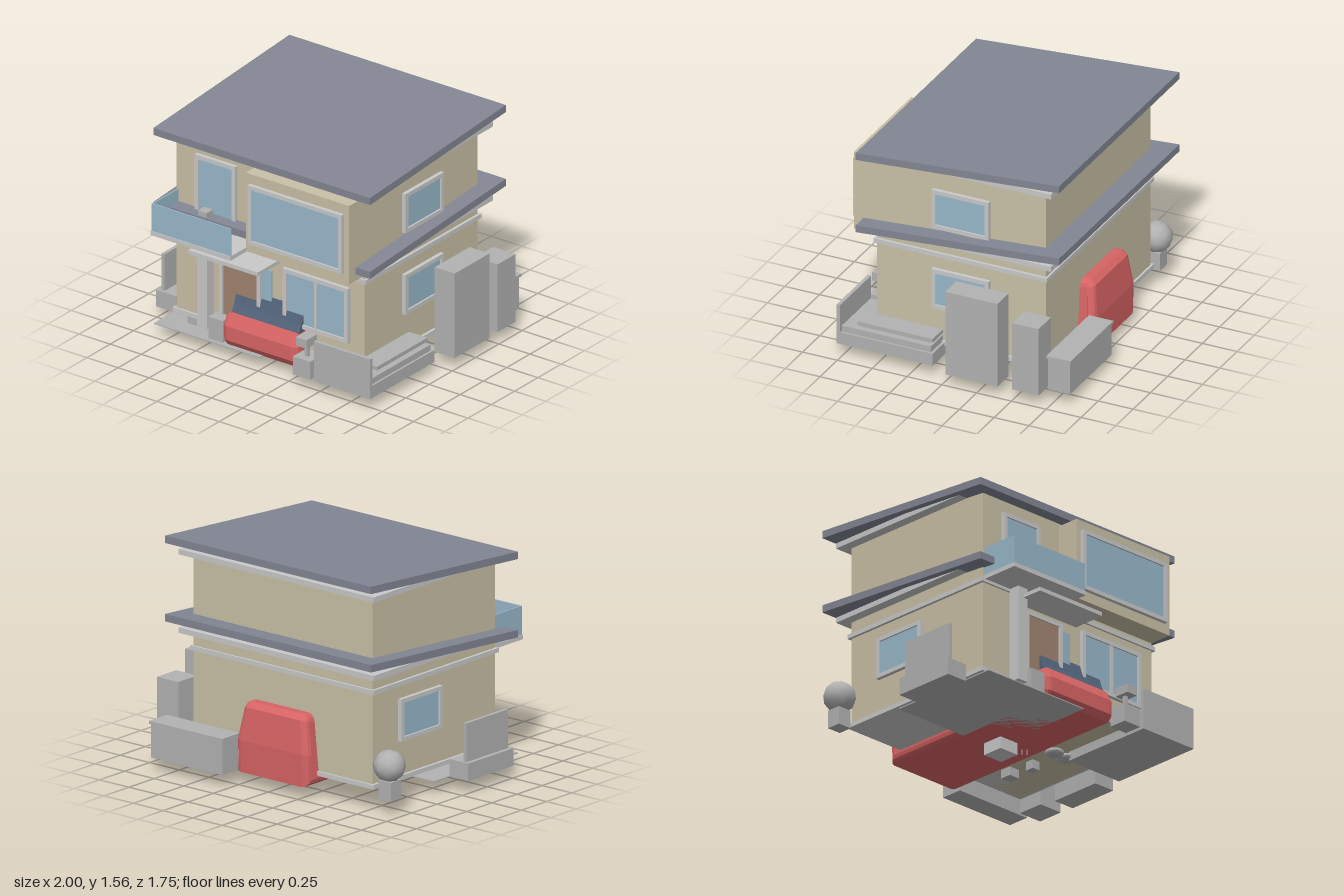
import * as THREE from 'three';

const mat = (name, color) => Object.assign(new THREE.MeshStandardMaterial({ color }), { name });

export function createModel() {
  const wall = mat('tan wall', 0xc9c0a6), roof = mat('slate roof', 0x838694);
  const glass = mat('blue glass', 0x98b8ca), trim = mat('light trim', 0xc9c9c9);
  const gray = mat('gray yard', 0xb2b2b2), wood = mat('brown door', 0xa08470);
  const red = mat('red paint', 0xd86465), dark = mat('dark windshield', 0x526278);
  const house = new THREE.Group();
  house.name = 'house';

  const add = (name, geo, m, parent = house) => {
    const mesh = new THREE.Mesh(geo, m);
    mesh.name = name;
    parent.add(mesh);
    return mesh;
  };
  // Box given by its two extreme corners
  const box = (name, m, x0, x1, y0, y1, z0, z1, parent) => {
    const g = new THREE.BoxGeometry(x1 - x0, y1 - y0, z1 - z0);
    g.translate((x0 + x1) / 2, (y0 + y1) / 2, (z0 + z1) / 2);
    return add(name, g, m, parent);
  };
  // Solid from a (z, y) side profile, spanning x0..x1
  const sideSolid = (pts, x0, x1, bevel = 0) => {
    const shape = new THREE.Shape(pts.map(p => new THREE.Vector2(p[0], p[1])));
    const depth = x1 - x0 - 2 * bevel;
    const g = new THREE.ExtrudeGeometry(shape, {
      depth, bevelEnabled: bevel > 0, bevelSize: bevel, bevelThickness: bevel,
      bevelOffset: -bevel, bevelSegments: 3,
    });
    g.translate(0, 0, -depth / 2);
    g.rotateY(-Math.PI / 2);
    g.translate((x0 + x1) / 2, 0, 0);
    return g;
  };
  // Framed window facing +z at the origin, then turned and placed
  const win = (name, w, h, x, y, z, turn = 0, pane = glass) => {
    const g = new THREE.Group(), f = 0.028, d = 0.028;
    g.name = name;
    for (const s of [-1, 1]) {
      const a = s * w / 2, b = s * (w / 2 - f), c = s * h / 2, e = s * (h / 2 - f);
      box('frameSide', trim, Math.min(a, b), Math.max(a, b), -h / 2, h / 2, 0, d, g);
      box('frameRail', trim, -w / 2 + f, w / 2 - f, Math.min(c, e), Math.max(c, e), 0, d, g);
    }
    box('pane', pane, -w / 2 + f, w / 2 - f, -h / 2 + f, h / 2 - f, 0.008, 0.016, g);
    g.position.set(x, y, z);
    g.rotation.y = turn;
    house.add(g);
    return g;
  };

  // Walls and upper bay
  box('lowerWalls', wall, -0.77, 0.74, 0.145, 0.79, -0.62, 0.595);
  box('upperWalls', wall, -0.77, 0.74, 0.79, 1.44, -0.62, 0.595);
  box('upperBay', wall, -0.09, 0.74, 0.835, 1.395, 0.55, 0.76);
  box('plinth', trim, -0.79, 0.76, 0.145, 0.175, -0.635, 0.61);
  box('floorBand', trim, -0.79, 0.76, 0.78, 0.81, -0.635, 0.61);

  // Two sloped roof slabs with eaves below them
  for (const dy of [0, 0.527]) {
    add('roofSlab', sideSolid([[0.69, 0.88 + dy], [0.69, 0.93 + dy], [-0.77, 1.033 + dy], [-0.77, 0.983 + dy]].reverse(), -0.885, 0.855), roof);
    box('eaves', trim, -0.84, 0.81, 0.897 + dy, 0.933 + dy, -0.69, 0.59);
  }

  // Windows and doors
  win('bayWindow', 0.755, 0.42, 0.322, 1.115, 0.76);
  win('balconyDoor', 0.325, 0.49, -0.442, 1.08, 0.595);
  const front = win('frontWindow', 0.525, 0.39, 0.363, 0.52, 0.595);
  box('mullion', trim, -0.012, 0.012, -0.17, 0.17, 0, 0.025, front);
  win('upperSideWindow', 0.41, 0.28, 0.74, 1.127, -0.015, Math.PI / 2);
  win('lowerSideWindow', 0.41, 0.285, 0.74, 0.547, -0.015, Math.PI / 2);
  win('leftSideWindow', 0.41, 0.285, -0.77, 0.547, -0.16, -Math.PI / 2);
  win('frontDoor', 0.33, 0.53, -0.245, 0.43, 0.595, 0, wood);
  box('sidelight', glass, -0.08, 0, 0.175, 0.655, 0.596, 0.604);

  // Balcony and porch
  box('balconyFloor', trim, -0.765, -0.125, 0.8, 0.83, 0.59, 0.88);
  box('balconyFrontGlass', glass, -0.76, -0.125, 0.815, 1.025, 0.866, 0.875);
  box('balconySideGlass', glass, -0.76, -0.751, 0.815, 1.025, 0.6, 0.866);
  box('balconyStool', gray, -0.535, -0.465, 0.83, 0.965, 0.61, 0.68);
  box('canopy', trim, -0.495, 0.063, 0.728, 0.755, 0.59, 0.838);
  box('porchColumn', trim, -0.54, -0.46, 0.14, 0.8, 0.605, 0.685);
  box('porchSlab', gray, -0.85, 0, 0.083, 0.09, -0.1, 0.73);
  box('porchFoot', gray, -0.68, -0.56, 0.085, 0.145, 0.5, 0.6);

  // Car running through the ground floor
  const body = sideSolid([[-0.735, 0.083], [0.69, 0.083], [0.72, 0.13], [0.72, 0.23],
    [0.68, 0.305], [0.5, 0.31], [0.4, 0.5], [-0.68, 0.555], [-0.715, 0.52], [-0.74, 0.3]], -0.318, 0.288, 0.045);
  const p = body.attributes.position;
  for (let i = 0; i < p.count; i++) {
    const t = Math.max(0, p.getY(i) - 0.3);
    p.setX(i, -0.015 + (p.getX(i) + 0.015) * (1 - 0.6 * t));
  }
  body.computeVertexNormals();
  add('carBody', body, red);
  add('windshield', sideSolid([[0.4, 0.28], [0.67, 0.28], [0.655, 0.31], [0.63, 0.36],
    [0.61, 0.42], [0.59, 0.48], [0.4, 0.5]], -0.28, 0.26), dark);

  // Terraced planter at the front right corner
  box('terraceBase', gray, 0.48, 0.93, 0.082, 0.168, 0.1, 0.79);
  box('terraceStep', gray, 0.5, 0.915, 0.168, 0.21, 0.12, 0.76);
  box('terraceTop', gray, 0.52, 0.89, 0.225, 0.252, 0.12, 0.66);
  box('terraceCore', gray, 0.55, 0.87, 0.2, 0.23, 0.15, 0.63);
  box('terraceFront', gray, 0.48, 0.93, 0.082, 0.365, 0.765, 0.79);

  // Yard cabinets
  box('tallCabinet', gray, 0.84, 1, 0.082, 0.685, -0.4, -0.025);
  box('middleCabinet', gray, 0.81, 0.99, 0.082, 0.565, -0.69, -0.5);
  box('backChest', gray, 0.29, 0.89, 0.082, 0.31, -0.865, -0.71);
  box('chestLid', gray, 0.28, 0.9, 0.31, 0.33, -0.875, -0.7);

  // Left planter with screen
  box('planter', gray, -1, -0.84, 0.082, 0.2, 0.06, 0.51);
  box('planterScreen', gray, -0.97, -0.945, 0.2, 0.46, 0.08, 0.49);

  // Round shrub in a pot
  box('shrubPot', gray, -0.95, -0.845, 0.1, 0.225, -0.65, -0.55);
  add('shrub', new THREE.IcosahedronGeometry(0.108, 1), gray).position.set(-0.895, 0.32, -0.6);

  // Mailbox and door pot
  box('mailboxBase', gray, 0.31, 0.45, 0.082, 0.21, 0.66, 0.79);
  box('mailboxPost', gray, 0.365, 0.39, 0.21, 0.295, 0.715, 0.74);
  box('mailbox', gray, 0.335, 0.42, 0.295, 0.355, 0.68, 0.79);
  box('doorPot', gray, -0.435, -0.32, 0.09, 0.245, 0.6, 0.7);

  // Blocks and stones beneath the floor
  box('footing', trim, -0.095, 0.058, 0, 0.085, -0.09, 0.062);
  box('pierA', gray, 0.36, 0.44, 0.085, 0.15, -0.4, -0.32);
  box('pierB', gray, 0.39, 0.45, 0.085, 0.15, -0.2, -0.14);
  for (const [x, z] of [[0.49, 0.06], [0.38, 0.07]]) {
    const stone = add('stone', new THREE.IcosahedronGeometry(0.065, 1), gray);
    stone.scale.y = 0.45;
    stone.position.set(x, 0.115, z);
  }
  for (let i = 0; i < 4; i++) box('peg', gray, 0.095 + i * 0.024, 0.1 + i * 0.024, 0.045, 0.09, -0.03 + i * 0.02, -0.025 + i * 0.02);

  return house;
}
